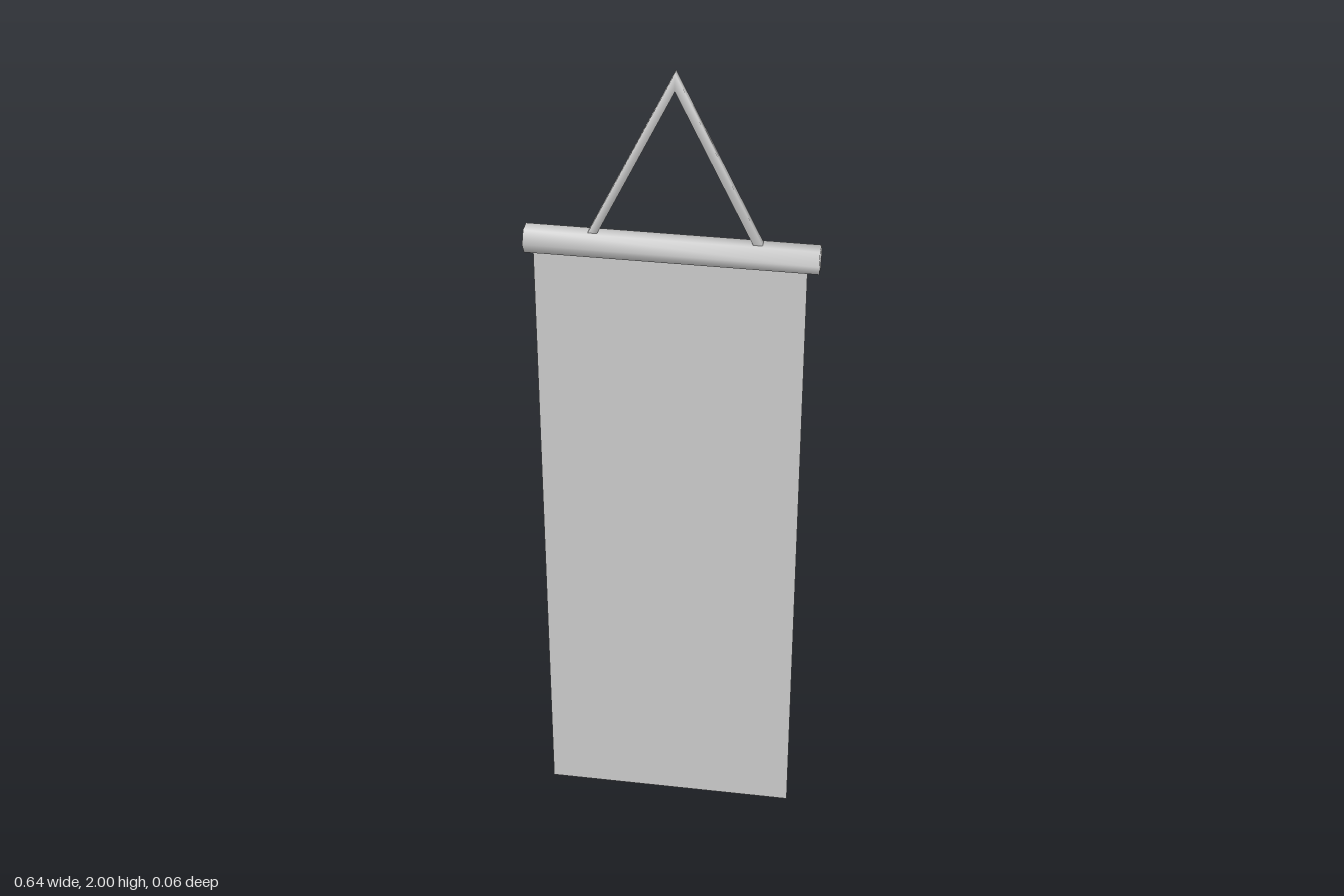
import * as THREE from 'three';
import { mergeVertices } from 'three/addons/utils/BufferGeometryUtils.js';

// Share vertices between faces so that shading runs smoothly over the edges
function smooth(geometry) {
  geometry.deleteAttribute('normal');
  geometry.deleteAttribute('uv');
  const merged = mergeVertices(geometry, 1e-4);
  merged.computeVertexNormals();
  return merged;
}

export function createModel() {
  const group = new THREE.Group();
  const material = new THREE.MeshStandardMaterial({ color: 0xcccccc });
  const clothMaterial = new THREE.MeshStandardMaterial({ color: 0xcccccc, side: THREE.DoubleSide });

  function add(name, geometry, mat = material) {
    const mesh = new THREE.Mesh(geometry, mat);
    mesh.name = name;
    group.add(mesh);
    return mesh;
  }

  // Six-sided rod with an edge on top, lying along x
  const rodY = 1.582;
  const rod = smooth(new THREE.CylinderGeometry(0.032, 0.032, 0.644, 6));
  rod.rotateZ(Math.PI / 2);
  add('rod', rod).position.y = rodY;

  // Thin hanging cloth, its top edge inside the rod
  const cloth = add('cloth', new THREE.PlaneGeometry(0.6, rodY), clothMaterial);
  cloth.position.set(-0.005, rodY / 2, 0);

  // Square cord bent into an inverted V, its feet sunk into the rod
  const apexX = 0.008, footY = 1.59, slope = 0.486, drop = 0.042;
  const outer = (2 - footY) * slope;
  const inner = (2 - drop - footY) * slope;
  const outline = new THREE.Shape([
    [-outer, footY], [-inner, footY], [0, 2 - drop],
    [inner, footY], [outer, footY], [0, 2],
  ].map(([x, y]) => new THREE.Vector2(apexX + x, y)));
  const cord = new THREE.ExtrudeGeometry(outline, { depth: 0.018, bevelEnabled: false });
  add('cord', smooth(cord)).position.z = -0.01;

  return group;
}
